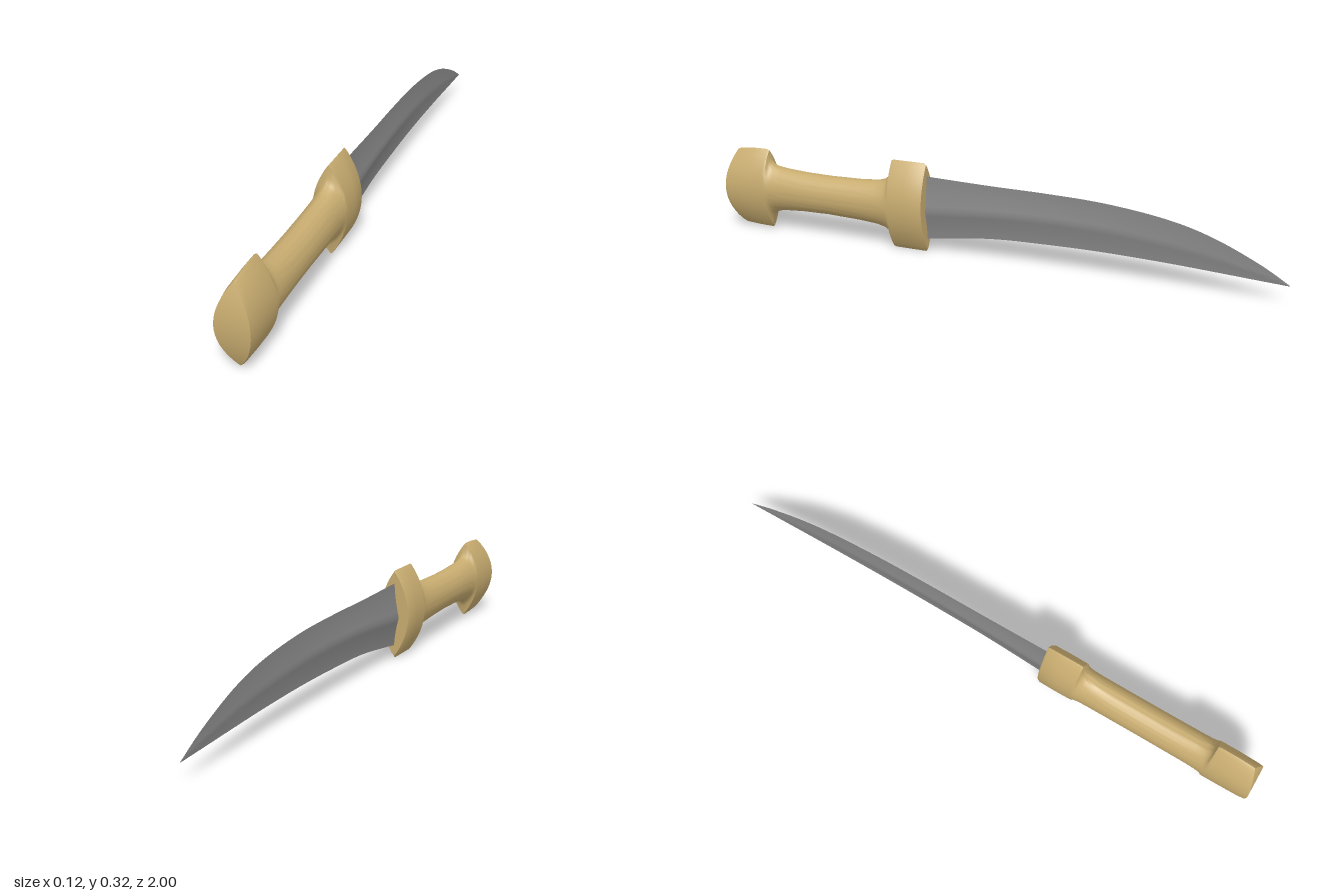
import * as THREE from 'three';
import { toCreasedNormals } from 'three/addons/utils/BufferGeometryUtils.js';

// Skin closed rings of [x, y, z], ordered by rising z. Each ring runs
// counter-clockwise from its lowest point, mirrored in x, with an even count.
function loft(rings, crease) {
  const n = rings[0].length;
  const index = [];
  const id = (i, j) => i * n + (j % n);
  for (let i = 0; i < rings.length - 1; i++) {
    for (let j = 0; j < n; j++) {
      index.push(id(i, j), id(i, j + 1), id(i + 1, j + 1));
      index.push(id(i, j), id(i + 1, j + 1), id(i + 1, j));
    }
  }
  // Caps: strips joining each right point to its mirrored left point
  const cap = (i, flip) => {
    const tri = (a, b, c) => {
      if (a === b || b === c || a === c) return;
      if (flip) index.push(a, c, b); else index.push(a, b, c);
    };
    for (let j = 0; j < n / 2; j++) {
      const r0 = id(i, j), r1 = id(i, j + 1), l0 = id(i, n - j), l1 = id(i, n - j - 1);
      tri(r0, r1, l1);
      tri(r0, l1, l0);
    }
  };
  cap(0, true);
  cap(rings.length - 1, false);
  const g = new THREE.BufferGeometry();
  g.setAttribute('position', new THREE.Float32BufferAttribute(rings.flat(2), 3));
  g.setIndex(index);
  return toCreasedNormals(g, crease);
}

// Handle section: an ellipse (point = 0) blending to a pointed lens (point = 1)
function handleRing([z, bottom, top, width, point, bulge = 0]) {
  const n = 56, ring = [];
  for (let j = 0; j < n; j++) {
    const a = -Math.PI / 2 + (j / n) * Math.PI * 2;
    const c = Math.cos(a);
    const x = j % (n / 2) === 0 ? 0 : width * c * (1 - point + point * Math.abs(c));
    ring.push([x, (top + bottom) / 2 + ((top - bottom) / 2) * Math.sin(a), z + bulge * c * c]);
  }
  return ring;
}

function makeHandle() {
  // z, bottom, top, half width, pointedness, end bulge
  const rows = [
    [0.225, 0.008, 0.316, 0.054, 0.92],
    [0.232, 0.0, 0.322, 0.058, 0.92],
    [0.29, 0.0, 0.322, 0.059, 0.92],
    [0.346, 0.0, 0.322, 0.058, 0.92],
    [0.354, 0.003, 0.319, 0.058, 0.92],
    [0.358, 0.04, 0.278, 0.058, 0.7],
    [0.366, 0.058, 0.261, 0.057, 0.5],
    [0.38, 0.07, 0.249, 0.056, 0.3],
    [0.41, 0.079, 0.24, 0.055, 0.12],
    [0.48, 0.085, 0.234, 0.055, 0.05],
    [0.6, 0.089, 0.231, 0.055, 0.05],
    [0.7, 0.087, 0.233, 0.055, 0.05],
    [0.78, 0.081, 0.239, 0.055, 0.1],
    [0.812, 0.074, 0.245, 0.056, 0.3],
    [0.828, 0.063, 0.254, 0.057, 0.5],
    [0.836, 0.045, 0.27, 0.058, 0.7],
    [0.84, 0.01, 0.3, 0.058, 0.92],
    [0.848, 0.007, 0.304, 0.058, 0.92],
    [0.9, 0.008, 0.303, 0.058, 0.92],
    [0.955, 0.012, 0.298, 0.057, 0.92, 0.025],
    [0.968, 0.018, 0.292, 0.055, 0.92, 0.032],
  ];
  return loft(rows.map(handleRing), 0.75);
}

function makeBlade() {
  // Edge lines and midrib along the length
  const zs = [-1, -0.9, -0.75, -0.6, -0.4, -0.2, 0, 0.24];
  const line = (ys) => new THREE.SplineCurve(ys.map((y, i) => new THREE.Vector2(zs[i], y)));
  const spine = line([0.067, 0.126, 0.193, 0.234, 0.26, 0.268, 0.27, 0.276]);
  const rib = line([0.066, 0.093, 0.126, 0.15, 0.17, 0.176, 0.17, 0.15]);
  const belly = line([0.065, 0.07, 0.078, 0.085, 0.09, 0.088, 0.079, 0.046]);

  const steps = 56, half = 6, rings = [];
  for (let i = 0; i <= steps; i++) {
    const t = i / steps;
    const { x: z, y: top } = spine.getPoint(t);
    const mid = rib.getPoint(t).y, low = belly.getPoint(t).y;
    const thick = 0.0005 + 0.0175 * (z + 1) / 1.24;
    // Hollow-ground faces rising from both edges to the midrib
    const side = [];
    for (let k = 0; k <= half * 2; k++) {
      const s = k <= half ? k / half : 2 - k / half;
      const y = k <= half ? low + (mid - low) * s : top + (mid - top) * s;
      side.push([thick * Math.pow(s, 1.6), y, z]);
    }
    const left = side.slice(1, -1).reverse().map(([x, y, w]) => [-x, y, w]);
    rings.push([...side, ...left]);
  }
  return loft(rings, 0.9);
}

export function createModel() {
  const brass = new THREE.MeshStandardMaterial({ color: 0xc8ac70 });
  brass.name = 'tan handle';
  const steel = new THREE.MeshStandardMaterial({ color: 0x868686 });
  steel.name = 'grey steel';

  const group = new THREE.Group();
  group.name = 'curvedDagger';
  const handle = new THREE.Mesh(makeHandle(), brass);
  handle.name = 'handle';
  const blade = new THREE.Mesh(makeBlade(), steel);
  blade.name = 'blade';
  group.add(handle, blade);
  return group;
}
